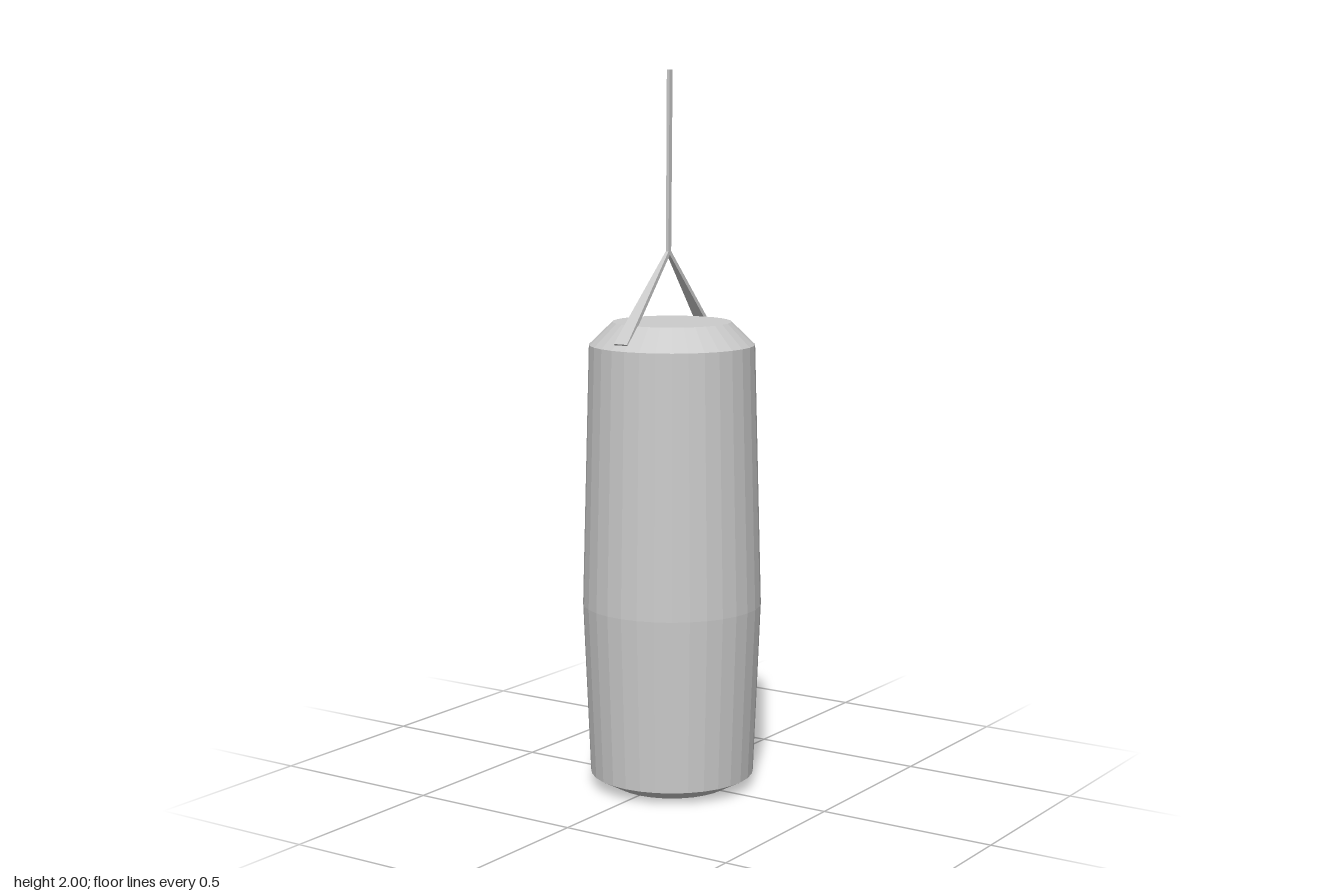
import * as THREE from 'three';

const material = new THREE.MeshStandardMaterial({ color: 0xcccccc, flatShading: true, side: THREE.DoubleSide });

// Beam between two rectangular ends; each end lists x range, y, z and thickness along y and z
function taperedBeam(name, top, bottom) {
  const geometry = new THREE.BoxGeometry(1, 1, 1);
  const p = geometry.attributes.position;
  for (let i = 0; i < p.count; i++) {
    const e = p.getY(i) > 0 ? top : bottom;
    const side = p.getZ(i);
    p.setXYZ(i, p.getX(i) < 0 ? e.x0 : e.x1, e.y + side * e.ty, e.z + side * e.tz);
  }
  geometry.computeVertexNormals();
  const mesh = new THREE.Mesh(geometry, material);
  mesh.name = name;
  return mesh;
}

export function createModel() {
  const model = new THREE.Group();
  model.name = 'hangingBag';

  // Bulging faceted body with bevelled ends
  const profile = [[0, 0], [0.165, 0], [0.23, 0.035], [0.25, 0.52], [0.23, 1.25], [0.165, 1.313], [0, 1.313]]
    .map(([r, y]) => new THREE.Vector2(r, y));
  const body = new THREE.Mesh(new THREE.LatheGeometry(profile, 32), material);
  body.name = 'bagBody';
  model.add(body);

  // Two straps widening from the rope down to the bevel
  for (const s of [1, -1]) {
    model.add(taperedBeam(
      s > 0 ? 'frontStrap' : 'backStrap',
      { x0: -0.016, x1: -0.007, y: 1.505, z: 0, ty: 0.008, tz: 0.008 * s },
      { x0: -0.043, x1: 0, y: 1.264, z: 0.213 * s, ty: 0.008, tz: 0.008 * s },
    ));
  }

  // Hanging rope
  model.add(taperedBeam(
    'rope',
    { x0: -0.016, x1: -0.007, y: 2, z: -0.006, ty: 0, tz: 0.015 },
    { x0: -0.016, x1: -0.007, y: 1.5, z: 0, ty: 0, tz: 0.013 },
  ));
  return model;
}
